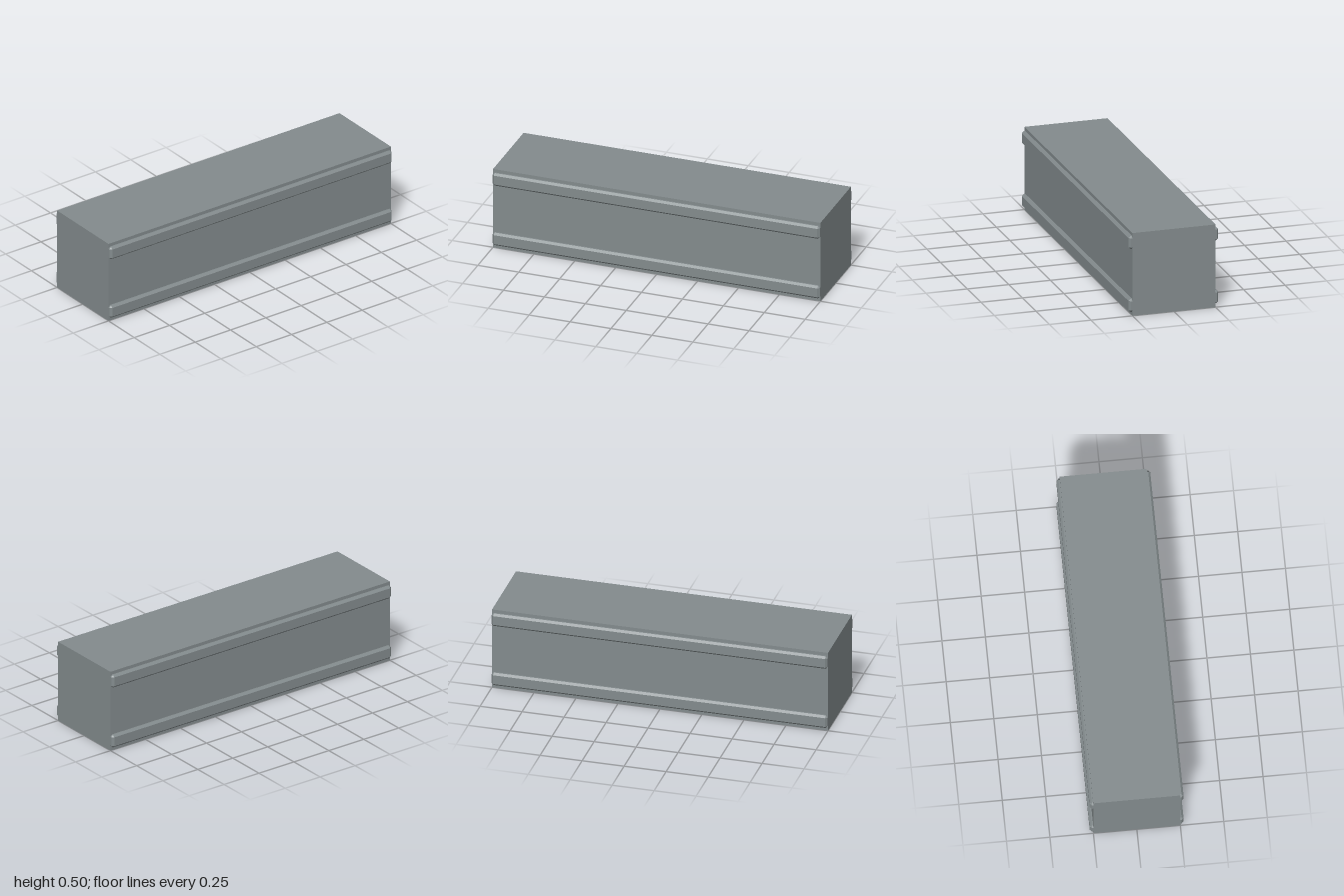
import * as THREE from 'three';
import { ConvexGeometry } from 'three/addons/geometries/ConvexGeometry.js';

const HALF_LENGTH = 1, HALF_HEIGHT = 0.04, DEPTH = 0.02, BEVEL = 0.012;

// Rail with every exposed edge chamfered; its back lies on z = 0
function railGeometry() {
  const points = [];
  const L = HALF_LENGTH, H = HALF_HEIGHT, b = BEVEL;
  for (const sx of [-1, 1]) for (const sy of [-1, 1]) {
    for (const z of [0, DEPTH - b]) {
      points.push(new THREE.Vector3(sx * L, sy * (H - b), z));
      points.push(new THREE.Vector3(sx * (L - b), sy * H, z));
    }
    points.push(new THREE.Vector3(sx * (L - b), sy * (H - b), DEPTH));
  }
  return new ConvexGeometry(points);
}

export function createModel() {
  const group = new THREE.Group();
  group.name = 'beam';
  const steel = new THREE.MeshStandardMaterial({ color: 0x838b8d });
  steel.name = 'greySteel';

  // Square beam body
  const body = new THREE.Mesh(new THREE.BoxGeometry(2, 0.5, 0.5), steel);
  body.name = 'body';
  body.position.y = 0.25;
  group.add(body);

  // Upper and lower rails on the front and back
  const geometry = railGeometry();
  for (const [side, z, turn] of [['front', 0.25, 0], ['back', -0.25, Math.PI]]) {
    for (const [level, y] of [['Lower', 0.06], ['Upper', 0.44]]) {
      const rail = new THREE.Mesh(geometry, steel);
      rail.name = side + level + 'Rail';
      rail.position.set(0, y, z);
      rail.rotation.y = turn;
      group.add(rail);
    }
  }
  return group;
}
